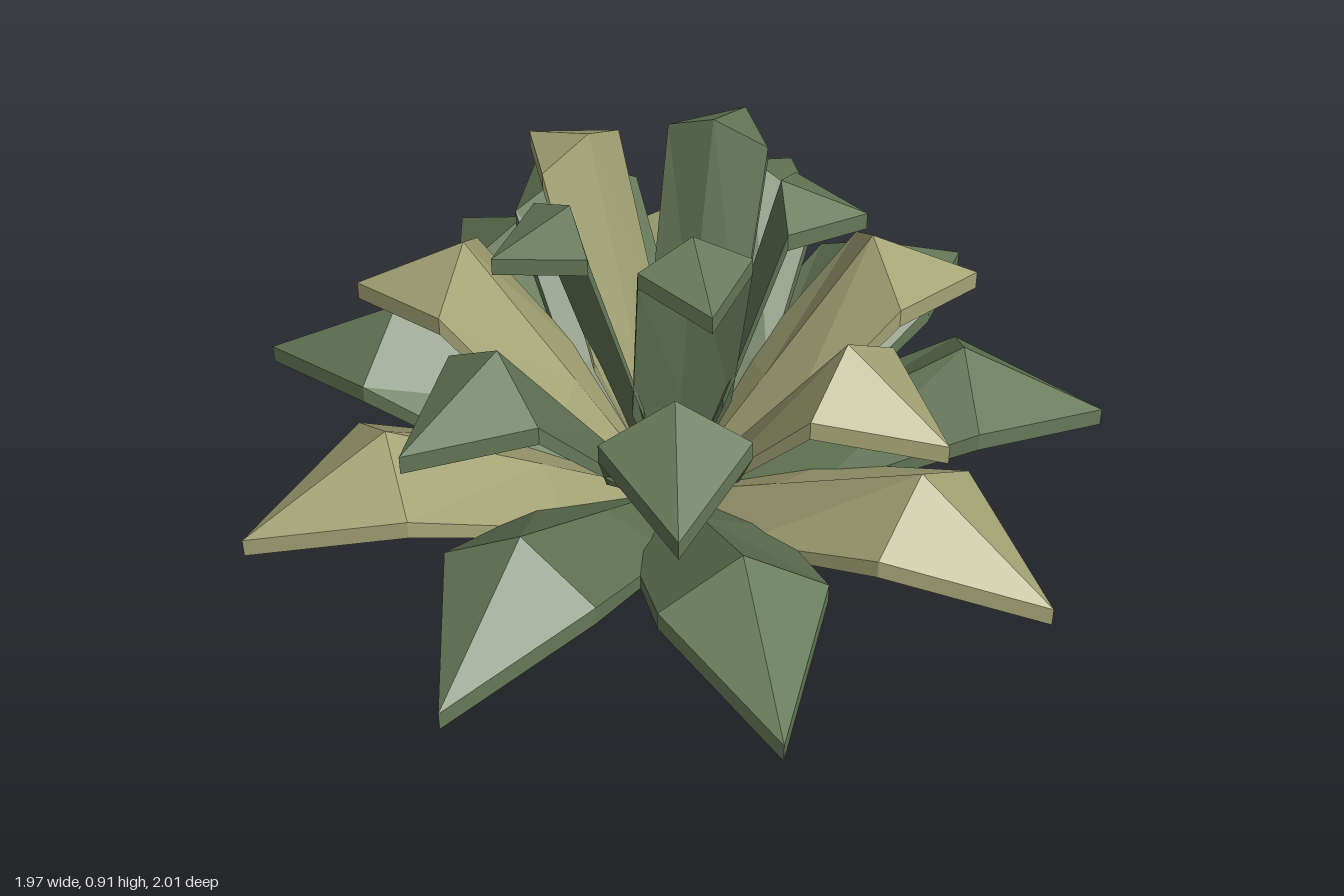
import * as THREE from 'three';

const green = new THREE.MeshStandardMaterial({ name: 'leaf green', color: 0x667958, flatShading: true });
const olive = new THREE.MeshStandardMaterial({ name: 'dry olive', color: 0xa5a577, flatShading: true });

// Each section: r = distance from the centre, rs = the same at the side edges,
// w = half width, ridge and side = top heights, t = thickness
function leafGeometry(sections) {
  const pos = [], index = [], n = 6;
  for (const { r, rs, w, ridge, side, t } of sections) {
    pos.push(
      r, ridge, 0, rs, side, w, rs, side - t, w,
      r, ridge - t, 0, rs, side - t, -w, rs, side, -w
    );
  }
  for (let s = 0; s < sections.length - 1; s++) {
    for (let k = 0; k < n; k++) {
      const a = s * n + k, a2 = s * n + (k + 1) % n;
      index.push(a, a2, a + n, a + n, a2, a2 + n);
    }
  }
  // cap at the root
  for (let k = 1; k < n - 1; k++) index.push(0, k + 1, k);
  const indexed = new THREE.BufferGeometry();
  indexed.setAttribute('position', new THREE.Float32BufferAttribute(pos, 3));
  indexed.setIndex(index);
  const geometry = indexed.toNonIndexed();
  geometry.computeVertexNormals();
  return geometry;
}

// Root to bend: [share of the length, share of the full width, share of the fold].
// The blade swells quickly from a narrow root and folds more towards the bend.
const outline = [[0, 0.06, 0.06], [0.45, 0.93, 0.48], [1, 1, 1]];

function bladeSections({ r, rs, w, ridge, side, t }) {
  return outline.map(([along, wide, fold]) => {
    const rr = THREE.MathUtils.lerp(0.022, r, along);
    const top = THREE.MathUtils.lerp(0.022, ridge, along);
    return {
      r: rr, rs: rr + (rs - r) * fold, w: w * wide,
      ridge: top, side: top - (ridge - side) * fold,
      t: THREE.MathUtils.lerp(0.016, t, along),
    };
  });
}

// Rings of leaves, low and wide to high and narrow
const rings = [
  {
    name: 'outerLeaf', count: 9, start: 0, oliveAt: 2,
    bend: { r: 0.675, rs: 0.69, w: 0.183, ridge: 0.415, side: 0.305, t: 0.045 },
    tip: { r: 1.018, rs: 1.018, w: 0, ridge: 0.215, side: 0.215, t: 0.045 },
  },
  {
    name: 'middleLeaf', count: 7, start: 11.46, oliveAt: 0,
    bend: { r: 0.472, rs: 0.49, w: 0.16, ridge: 0.67, side: 0.57, t: 0.045 },
    tip: { r: 0.735, rs: 0.735, w: 0, ridge: 0.52, side: 0.52, t: 0.045 },
  },
  {
    name: 'innerLeaf', count: 5, start: -9, oliveAt: 2,
    bend: { r: 0.24, rs: 0.265, w: 0.122, ridge: 0.912, side: 0.855, t: 0.04 },
    tip: { r: 0.428, rs: 0.428, w: 0, ridge: 0.84, side: 0.84, t: 0.04 },
  },
];

export function createModel() {
  const model = new THREE.Group();
  model.name = 'leafRosette';
  for (const { name, count, start, oliveAt, bend, tip } of rings) {
    const ring = new THREE.Group();
    ring.name = name + 'Ring';
    ring.position.x = -0.034;
    const geometry = leafGeometry([...bladeSections(bend), tip]);
    for (let i = 0; i < count; i++) {
      const leaf = new THREE.Mesh(geometry, i % 3 === oliveAt ? olive : green);
      leaf.name = name + (i + 1);
      leaf.rotation.y = THREE.MathUtils.degToRad(start + (i * 360) / count);
      ring.add(leaf);
    }
    model.add(ring);
  }
  return model;
}
